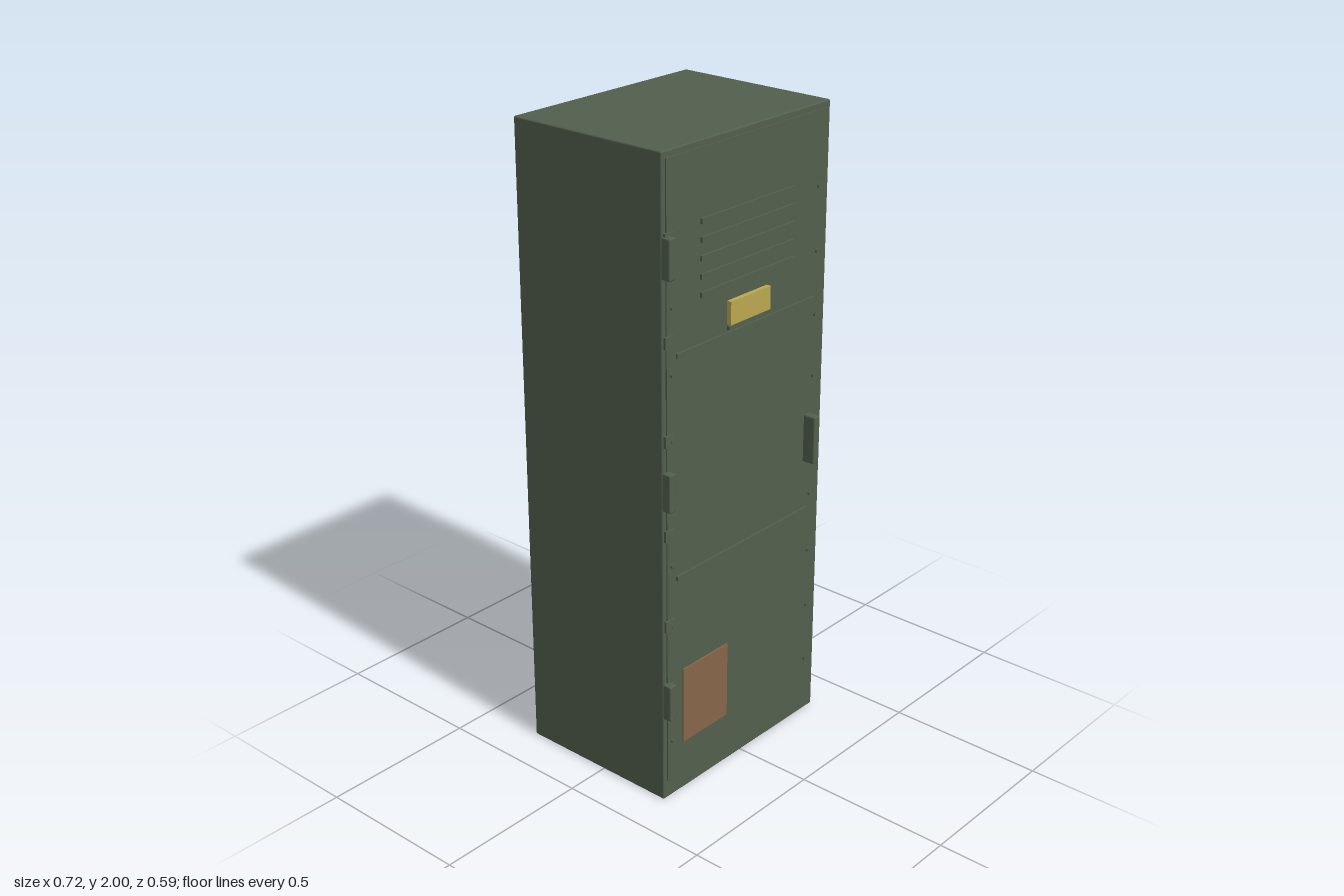
import * as THREE from 'three';
import { RoundedBoxGeometry } from 'three/addons/geometries/RoundedBoxGeometry.js';

const mat = (name, color) => {
  const m = new THREE.MeshStandardMaterial({ color });
  m.name = name;
  return m;
};

export function createModel() {
  const green = mat('greenPaint', 0x525f4d);
  const brass = mat('brass', 0xbaa850);
  const rust = mat('rust', 0x876549);
  const locker = new THREE.Group();
  locker.name = 'locker';

  // Box given by its limits on each axis; radius > 0 softens its edges
  function box(name, material, [x0, x1], [y0, y1], [z0, z1], radius = 0) {
    const size = [x1 - x0, y1 - y0, z1 - z0];
    const geometry = radius
      ? new RoundedBoxGeometry(...size, 2, radius)
      : new THREE.BoxGeometry(...size);
    const mesh = new THREE.Mesh(geometry, material);
    mesh.name = name;
    mesh.position.set((x0 + x1) / 2, (y0 + y1) / 2, (z0 + z1) / 2);
    locker.add(mesh);
    return mesh;
  }

  // Cabinet and the door set on its front
  box('cabinet', green, [-0.36, 0.36], [0, 2], [-0.295, 0.248], 0.005);
  box('door', green, [-0.345, 0.343], [0.06, 1.98], [0.24, 0.252]);

  // Door stiffening ribs
  for (const y of [0.735, 1.42]) {
    box('doorRib', green, [-0.308, 0.295], [y - 0.007, y + 0.007], [0.25, 0.259]);
  }

  // Vent louvers
  for (let i = 0; i < 5; i++) {
    const y = 1.568 + i * 0.0525;
    box('louver', green, [-0.208, 0.2], [y - 0.008, y + 0.008], [0.25, 0.259]);
  }

  // Name plate with its small ledge
  box('namePlate', brass, [-0.093, 0.081], [1.45, 1.52], [0.25, 0.267]);
  box('namePlateLedge', green, [-0.093, 0.081], [1.434, 1.445], [0.25, 0.261]);

  // Worn patch on the lower door
  box('rustPatch', rust, [-0.28, -0.08], [0.17, 0.42], [0.251, 0.257]);

  // Door handle
  box('handle', green, [0.273, 0.3], [0.9, 1.055], [0.248, 0.293], 0.005);

  // Three hinges
  for (const y of [0.343, 1.025, 1.71]) {
    box('hinge', green, [-0.36, -0.333], [y - 0.059, y + 0.059], [0.246, 0.276], 0.004);
  }

  // Small clips along the hinge side
  for (let i = 0; i < 6; i++) {
    const y = 0.3 + i * 0.292;
    box('edgeClip', green, [-0.354, -0.318], [y - 0.018, y + 0.018], [0.246, 0.256]);
  }

  // Rivets down both sides of the door
  const rivetShape = new THREE.CylinderGeometry(0.007, 0.007, 0.01, 8).rotateX(Math.PI / 2);
  for (const x of [-0.325, 0.309]) {
    for (let i = 0; i < 9; i++) {
      const rivet = new THREE.Mesh(rivetShape, green);
      rivet.name = 'rivet';
      rivet.position.set(x, 0.195 + i * 0.1955, 0.2535);
      locker.add(rivet);
    }
  }

  return locker;
}
